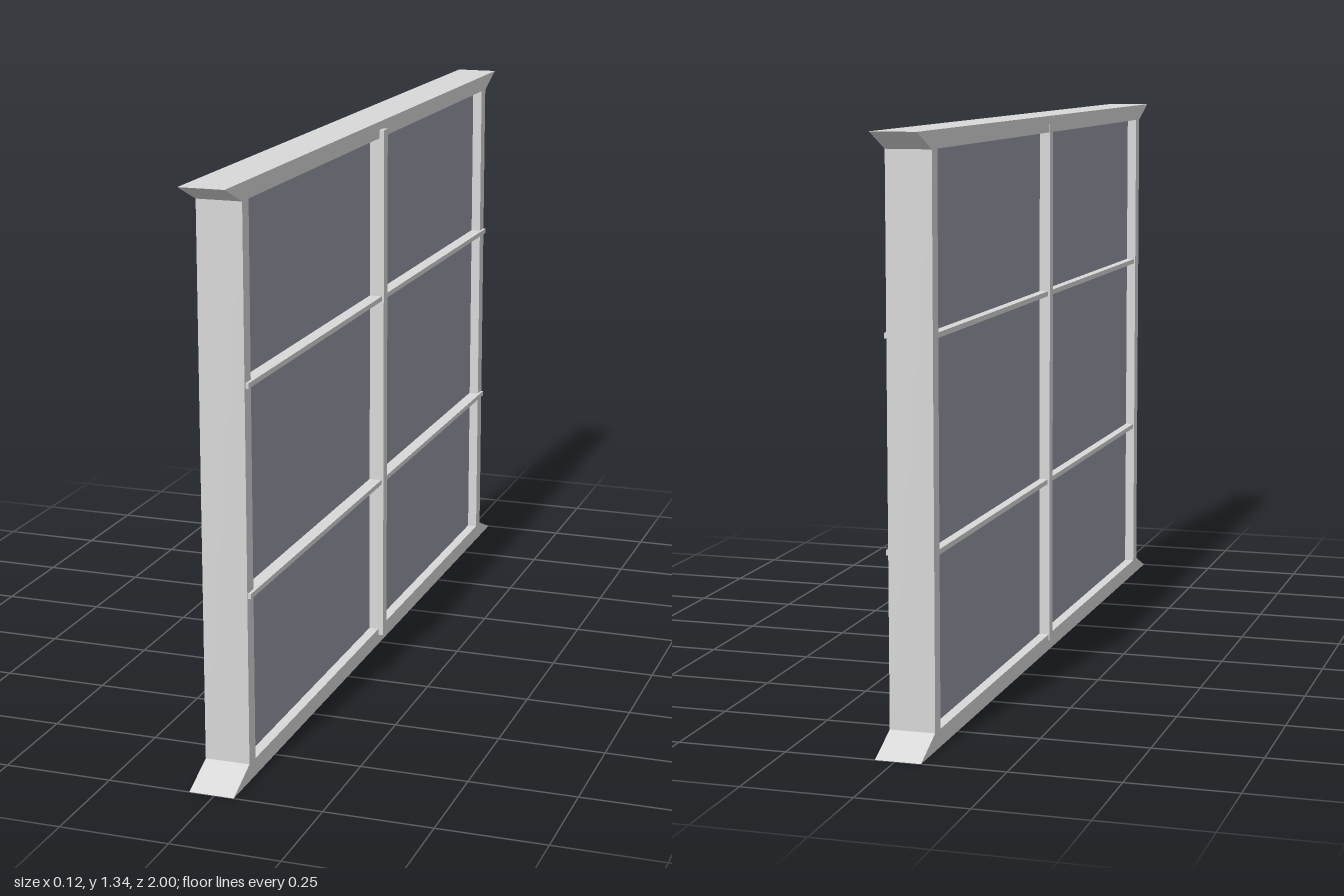
import * as THREE from 'three';

export function createModel() {
  const group = new THREE.Group();
  const frameMat = new THREE.MeshStandardMaterial({ color: 0xd8d8d8 });
  frameMat.name = 'light grey frame';
  const paneMat = new THREE.MeshStandardMaterial({ color: 0x979aa6 });
  paneMat.name = 'blue grey glass';

  const H = 1.335, RAIL = 0.04, X0 = -0.059, X1 = 0.045;
  const OUTER = 0.905, INNER = 0.869;

  // Box given by its minimum and maximum corners
  function box(name, mat, [x0, y0, z0], [x1, y1, z1]) {
    const geo = new THREE.BoxGeometry(x1 - x0, y1 - y0, z1 - z0);
    geo.translate((x0 + x1) / 2, (y0 + y1) / 2, (z0 + z1) / 2);
    const mesh = new THREE.Mesh(geo, mat);
    mesh.name = name;
    group.add(mesh);
  }

  // Rail with flared ends: wide on the outer edge, narrow on the inner edge
  function rail(name, yWide, yNarrow) {
    const shape = new THREE.Shape([
      new THREE.Vector2(-1, yWide), new THREE.Vector2(1, yWide),
      new THREE.Vector2(OUTER, yNarrow), new THREE.Vector2(-OUTER, yNarrow),
    ]);
    const geo = new THREE.ExtrudeGeometry(shape, { depth: X1 - X0, bevelEnabled: false });
    geo.rotateY(Math.PI / 2).translate(X0, 0, 0);
    const mesh = new THREE.Mesh(geo, frameMat);
    mesh.name = name;
    group.add(mesh);
  }
  rail('bottomRail', 0, RAIL);
  rail('topRail', H, H - RAIL);

  // Side jambs
  box('frontJamb', frameMat, [X0, RAIL, INNER], [X1, H - RAIL, OUTER]);
  box('backJamb', frameMat, [X0, RAIL, -OUTER], [X1, H - RAIL, -INNER]);

  // Glass set back from both faces
  box('glass', paneMat, [-0.035, RAIL, -INNER], [0.021, H - RAIL, INNER]);

  // Upright mullion and the two cross bars
  box('mullion', frameMat, [-0.061, 0.024, -0.014], [0.057, 1.315, 0.014]);
  for (const y of [0.43, 0.9]) {
    box('crossBar', frameMat, [-0.056, y - 0.006, -0.9], [0.052, y + 0.006, 0.9]);
  }
  return group;
}
